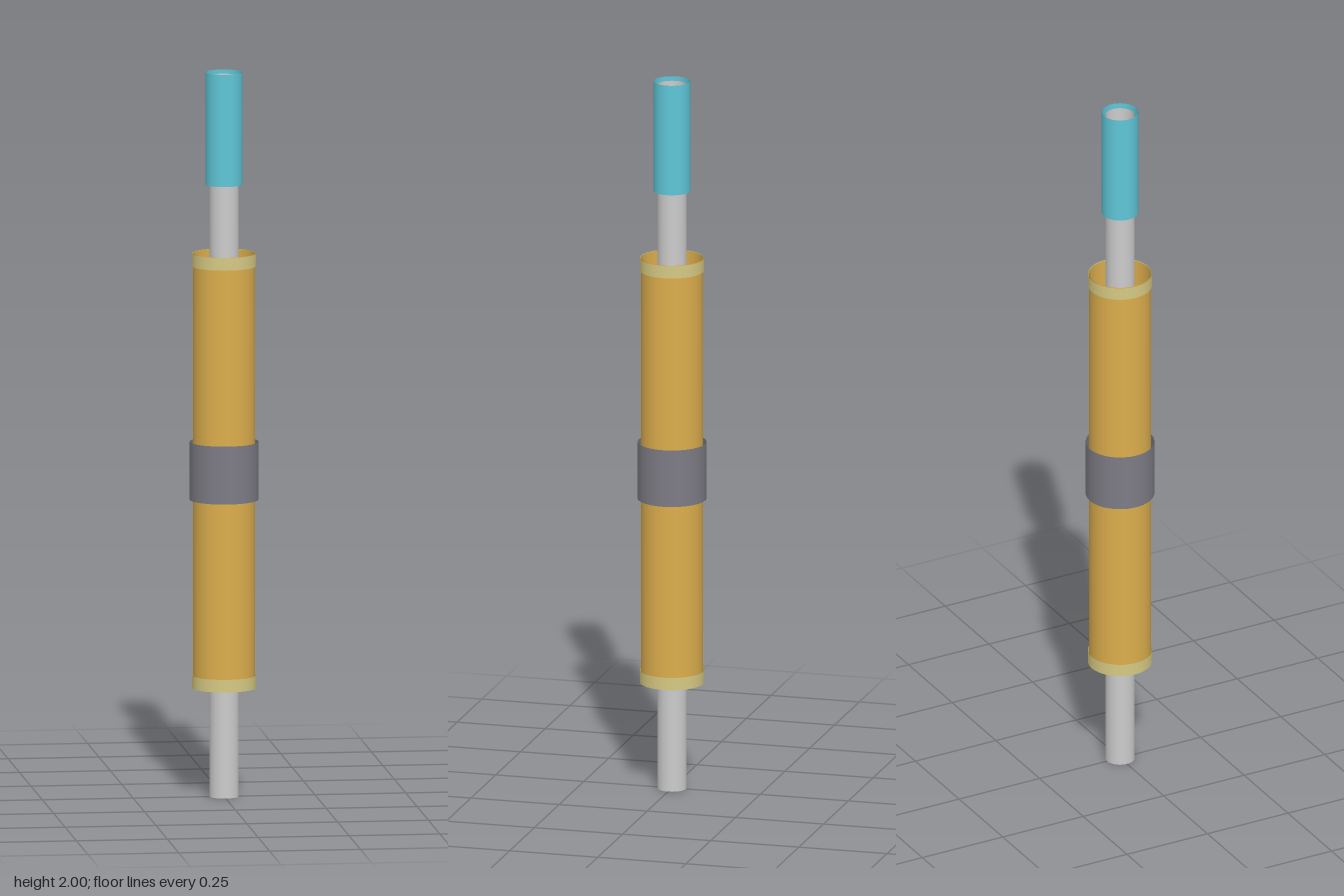
import * as THREE from 'three';

// Thin open-ended tube standing between two heights
function tube(name, radius, y0, y1, color) {
  const geometry = new THREE.CylinderGeometry(radius, radius, y1 - y0, 48, 1, true);
  const material = new THREE.MeshStandardMaterial({ color, side: THREE.DoubleSide });
  const mesh = new THREE.Mesh(geometry, material);
  mesh.name = name;
  mesh.position.y = (y0 + y1) / 2;
  return mesh;
}

export function createModel() {
  const group = new THREE.Group();
  group.name = 'layeredTube';
  group.add(
    // Core pipe and its sleeves
    tube('corePipe', 0.04, 0, 1.99, 0xcccccc),
    tube('innerSleeve', 0.047, 0.32, 1.3, 0xdccf90),
    tube('topSleeve', 0.05, 1.69, 2, 0x5fc6d8),
    // Wide outer body with end bands and middle collar
    tube('outerBody', 0.084, 0.3, 1.5, 0xdcae4d),
    tube('lowerBand', 0.088, 0.3, 0.335, 0xd6c983),
    tube('upperBand', 0.088, 1.465, 1.5, 0xd6c983),
    tube('middleCollar', 0.094, 0.82, 0.98, 0x7d7b84),
  );
  return group;
}
